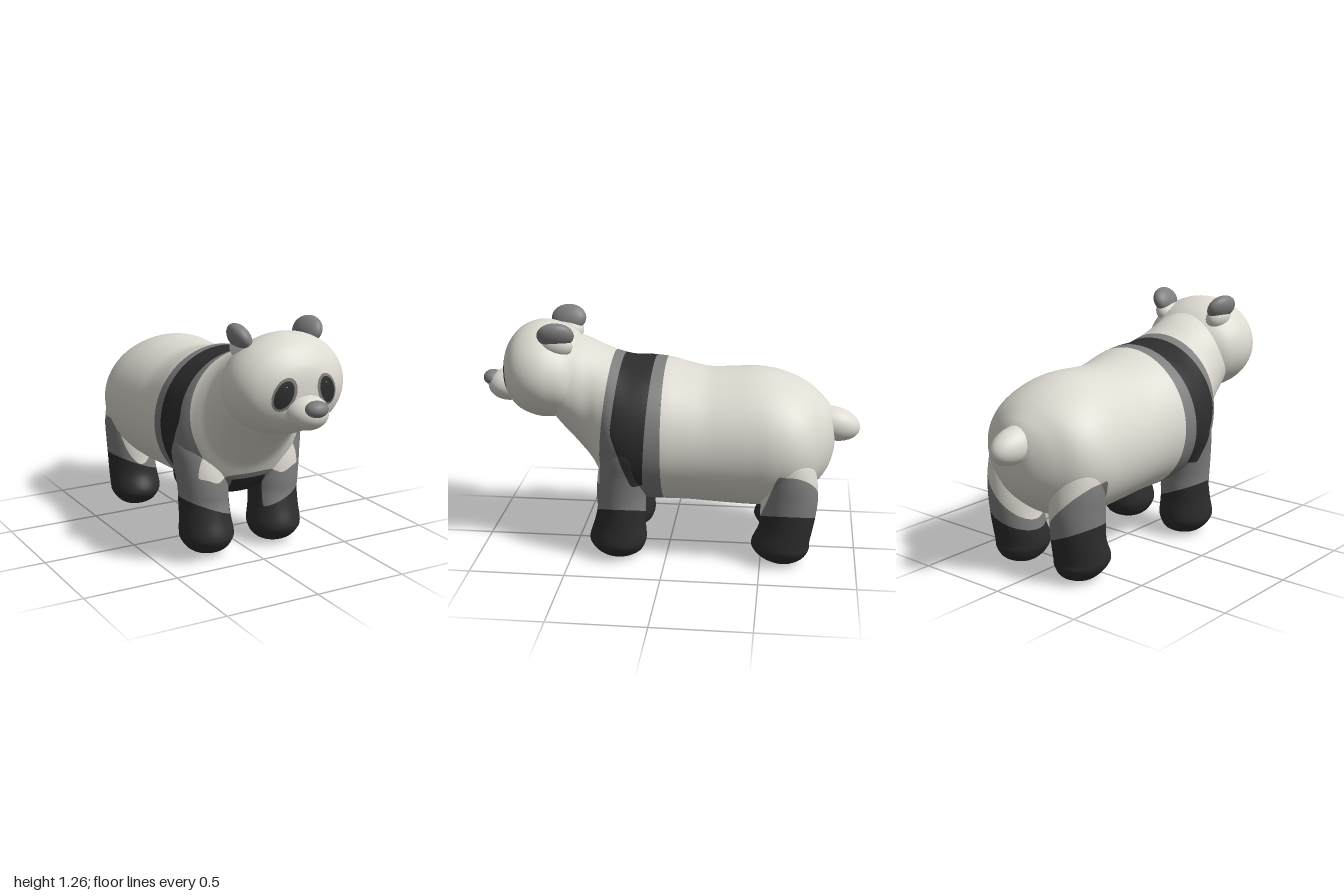
import * as THREE from 'three';
import { mergeVertices } from 'three/addons/utils/BufferGeometryUtils.js';

const material = (name, color) => new THREE.MeshStandardMaterial({ name, color });
const white = material('cream white', 0xdedbd2);
const grey = material('mid grey', 0x7e7e7e);
const black = material('charcoal', 0x2d2d2d);

// Smooth loft through elliptical rings [along, u, v, radiusU, radiusV].
// place(along, u, v) maps to x, y, z and must keep u, v, along right-handed.
function loft(rows, place, steps = 6, sides = 64) {
  const curve = new THREE.CubicInterpolant(rows.map((_, i) => i), rows.flat(), 5);
  const count = (rows.length - 1) * steps;
  const position = [], index = [];
  for (let i = 0; i <= count; i++) {
    const [t, u, v, ru, rv] = curve.evaluate(i / steps);
    for (let j = 0; j <= sides; j++) {
      const a = ((j % sides) / sides) * Math.PI * 2;
      position.push(...place(t, u + Math.max(ru, 0) * Math.cos(a), v + Math.max(rv, 0) * Math.sin(a)));
      if (i < count && j < sides) {
        const k = i * (sides + 1) + j, n = k + sides + 1;
        index.push(k, k + 1, n, k + 1, n + 1, n);
      }
    }
  }
  let geometry = new THREE.BufferGeometry();
  geometry.setAttribute('position', new THREE.Float32BufferAttribute(position, 3));
  geometry.setIndex(index);
  geometry = mergeVertices(geometry, 1e-5);
  geometry.computeVertexNormals();
  return geometry.toNonIndexed();
}

// Keeps the part of a surface where sign * f(x, y, z) is positive, cutting triangles cleanly.
function clip(geometry, f, sign) {
  const { position, normal } = geometry.attributes;
  const p = [], n = [];
  for (let i = 0; i < position.count; i += 3) {
    const corners = [0, 1, 2].map((k) => {
      const pos = new THREE.Vector3().fromBufferAttribute(position, i + k);
      return { pos, nor: new THREE.Vector3().fromBufferAttribute(normal, i + k), d: sign * f(pos.x, pos.y, pos.z) };
    });
    const poly = [];
    corners.forEach((a, k) => {
      const b = corners[(k + 1) % 3];
      if (a.d >= 0) poly.push(a);
      if ((a.d >= 0) !== (b.d >= 0)) {
        const t = a.d / (a.d - b.d);
        poly.push({ pos: a.pos.clone().lerp(b.pos, t), nor: a.nor.clone().lerp(b.nor, t).normalize() });
      }
    });
    for (let k = 1; k + 1 < poly.length; k++) {
      for (const c of [poly[0], poly[k], poly[k + 1]]) {
        p.push(...c.pos.toArray());
        n.push(...c.nor.toArray());
      }
    }
  }
  const out = new THREE.BufferGeometry();
  out.setAttribute('position', new THREE.Float32BufferAttribute(p, 3));
  out.setAttribute('normal', new THREE.Float32BufferAttribute(n, 3));
  return out;
}

// Splits a surface into one mesh per colour; what no rule claims stays white.
function paint(name, geometry, rules) {
  const group = new THREE.Group();
  group.name = name;
  let rest = geometry;
  const add = (geo, mat) => {
    if (!geo.attributes.position.count) return;
    const mesh = new THREE.Mesh(geo, mat);
    mesh.name = `${name} ${mat.name}`;
    group.add(mesh);
  };
  for (const [mat, f] of rules) {
    add(clip(rest, f, 1), mat);
    rest = clip(rest, f, -1);
  }
  add(rest, white);
  return group;
}

function ellipsoid(name, mat, center, radii, rotation = [0, 0, 0]) {
  const mesh = new THREE.Mesh(new THREE.SphereGeometry(1, 40, 28), mat);
  mesh.name = name;
  mesh.position.set(...center);
  mesh.scale.set(...radii);
  mesh.rotation.set(...rotation);
  return mesh;
}

// Coat pattern: positive inside each coloured area
const shoulderBand = (x, y, z) => Math.min(
  z - 0.075 - (1.05 - y) * 0.06, 0.24 + (1.05 - y) * 0.1 - z, 0.27 + (y - 0.73) * 0.36 - z, y - 0.44);
const bellyBand = (x, y, z) => Math.min(0.1 - Math.abs(x), 0.4 - y, z - 0.09, 0.37 - z);
const sock = (x, y) => Math.min(0.19 + 0.42 * (Math.abs(x) - 0.05) - y, Math.abs(x) - 0.05);
const foreQuarter = (x, y, z) => {
  const chestEdge = Math.min(0.29 + (1.06 - y) * 0.1, 0.338);
  const chestFloor = 0.43 - 0.03 * Math.exp(-(((Math.abs(x) - 0.19) / 0.05) ** 2));
  return Math.min(z - 0.015, Math.max(chestEdge - z, chestFloor - y));
};
const hindQuarter = (x, y, z) => Math.min(
  0.25 + (Math.abs(x) - 0.07) - y, Math.abs(x) - 0.06, -0.5 - (y - 0.28) * 0.33 - z);
const coat = [
  [black, (...p) => Math.max(shoulderBand(...p), bellyBand(...p), sock(...p))],
  [grey, (...p) => Math.max(foreQuarter(...p), hindQuarter(...p))],
];

// Tilted ellipse on the face, mirrored for both eyes
const eyePatch = (cx, cy, a, b) => (x, y, z) => {
  const dx = Math.abs(x) - cx, dy = y - cy, c = Math.cos(0.42), s = Math.sin(0.42);
  const inside = 1 - Math.hypot((dx * c + dy * s) / a, (dy * c - dx * s) / b);
  return Math.min(inside, (z - 0.72) * 10);
};

export function createModel() {
  const model = new THREE.Group();
  model.name = 'bear';
  const alongZ = (z, x, y) => [x, y, z];
  const alongY = (y, z, x) => [x, y, z];

  // Trunk and neck: z, top, bottom, half width
  const trunk = [
    [-0.875, 0.66, 0.66, 0], [-0.865, 0.75, 0.56, 0.08], [-0.84, 0.81, 0.48, 0.145],
    [-0.8, 0.855, 0.42, 0.22], [-0.74, 0.905, 0.365, 0.305], [-0.66, 0.95, 0.31, 0.355],
    [-0.56, 0.985, 0.275, 0.372], [-0.45, 1.0, 0.265, 0.368], [-0.3, 0.992, 0.27, 0.362],
    [-0.2, 0.99, 0.275, 0.36], [-0.1, 1.01, 0.28, 0.365], [0, 1.035, 0.28, 0.375],
    [0.1, 1.045, 0.28, 0.382], [0.2, 1.045, 0.285, 0.382], [0.28, 1.065, 0.31, 0.36],
    [0.34, 1.09, 0.375, 0.315], [0.4, 1.12, 0.48, 0.275], [0.48, 1.15, 0.58, 0.26],
    [0.56, 1.16, 0.67, 0.25], [0.64, 1.16, 0.76, 0.2],
  ].map(([z, top, bottom, w]) => [z, 0, (top + bottom) / 2, w, (top - bottom) / 2]);
  model.add(paint('body', loft(trunk, alongZ), coat));

  // Legs: y, centre z, centre x, radius z, radius x
  const frontLeg = [
    [0, 0.25, 0.2, 0, 0], [0.008, 0.25, 0.2, 0.06, 0.06], [0.035, 0.25, 0.2, 0.115, 0.105],
    [0.08, 0.255, 0.203, 0.145, 0.135], [0.12, 0.255, 0.203, 0.15, 0.141],
    [0.2, 0.245, 0.206, 0.135, 0.134], [0.28, 0.235, 0.208, 0.128, 0.132],
    [0.36, 0.235, 0.212, 0.13, 0.132], [0.48, 0.22, 0.22, 0.135, 0.14],
    [0.62, 0.19, 0.24, 0.13, 0.14], [0.78, 0.17, 0.24, 0.09, 0.09], [0.84, 0.17, 0.24, 0, 0],
  ];
  const backLeg = [
    [0, -0.62, 0.2, 0, 0], [0.008, -0.62, 0.2, 0.06, 0.06], [0.035, -0.615, 0.2, 0.115, 0.1],
    [0.08, -0.607, 0.203, 0.148, 0.13], [0.12, -0.605, 0.203, 0.152, 0.138],
    [0.2, -0.63, 0.205, 0.142, 0.135], [0.28, -0.64, 0.208, 0.145, 0.132],
    [0.38, -0.645, 0.21, 0.148, 0.135], [0.5, -0.65, 0.215, 0.13, 0.135],
    [0.62, -0.64, 0.22, 0.1, 0.11], [0.7, -0.64, 0.22, 0, 0],
  ];

  // Head with painted eyes: z, centre x, centre y, half width, half height
  const head = [
    [0.42, 0, 0.95, 0, 0], [0.43, 0, 0.95, 0.12, 0.1], [0.46, 0, 0.95, 0.2, 0.17],
    [0.52, 0, 0.955, 0.268, 0.22], [0.6, 0, 0.965, 0.3, 0.246], [0.67, 0, 0.97, 0.306, 0.253],
    [0.74, 0, 0.973, 0.288, 0.237], [0.8, 0, 0.972, 0.245, 0.203], [0.85, 0, 0.97, 0.165, 0.14],
    [0.87, 0, 0.97, 0.09, 0.08], [0.876, 0, 0.97, 0, 0],
  ];
  model.add(paint('head', loft(head, alongZ, 8, 96), [
    [black, eyePatch(0.12, 0.968, 0.043, 0.07)],
    [grey, eyePatch(0.117, 0.969, 0.056, 0.084)],
  ]));
  model.add(ellipsoid('muzzle', white, [0, 0.872, 0.86], [0.108, 0.085, 0.115]));
  model.add(ellipsoid('nose', grey, [0, 0.907, 0.952], [0.06, 0.04, 0.048]));
  model.add(ellipsoid('tail', white, [0, 0.712, -0.855], [0.088, 0.09, 0.147], [-0.2, 0, 0]));

  // Mirrored parts
  for (const [label, side] of [['left', 1], ['right', -1]]) {
    for (const [name, rows] of [['FrontLeg', frontLeg], ['BackLeg', backLeg]]) {
      const placed = rows.map(([y, z, x, rz, rx]) => [y, z, x * side, rz, rx]);
      model.add(paint(label + name, loft(placed, alongY), coat));
    }
    model.add(ellipsoid(`${label}Ear`, grey, [0.192 * side, 1.195, 0.568], [0.048, 0.073, 0.095], [0, 0.12 * side, -0.5 * side]));
    model.add(ellipsoid(`${label}EarBase`, white, [0.172 * side, 1.135, 0.57], [0.055, 0.07, 0.085], [0, 0, -0.4 * side]));
    model.add(ellipsoid(`${label}EyeGlint`, white, [0.108 * side, 1.005, 0.858], [0.008, 0.008, 0.008]));
  }
  return model;
}
